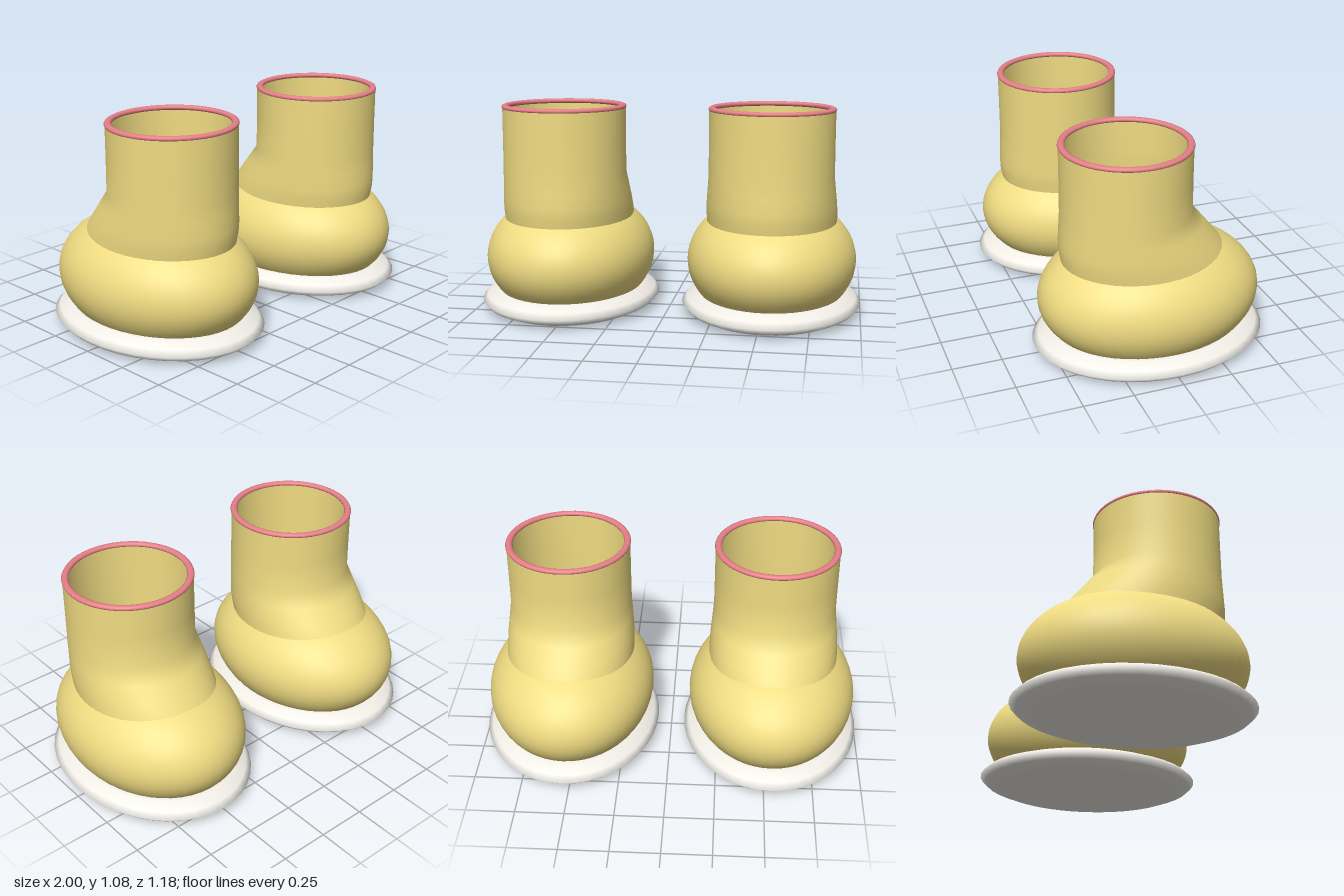
import * as THREE from 'three';

const yellow = new THREE.MeshStandardMaterial({ color: 0xf0dc82, side: THREE.DoubleSide });
const pink = new THREE.MeshStandardMaterial({ color: 0xe57f87 });
const white = new THREE.MeshStandardMaterial({ color: 0xf2efe8 });

function addMesh(parent, name, geometry, material) {
  const mesh = new THREE.Mesh(geometry, material);
  mesh.name = name;
  parent.add(mesh);
  return mesh;
}

// Oval tube through rings of [y, half width, back z, toe z]
function ovalTube(rings, segments) {
  const geometry = new THREE.CylinderGeometry(1, 1, 1, segments, rings.length - 1, true);
  const p = geometry.attributes.position;
  for (let i = 0; i < p.count; i++) {
    const [y, halfWidth, back, toe] = rings[Math.floor(i / (segments + 1))];
    p.setXYZ(i, p.getX(i) * halfWidth, y, (back + toe) / 2 + p.getZ(i) * (back - toe) / 2);
  }
  geometry.computeVertexNormals();
  // Match the normals on both sides of the seam
  const n = geometry.attributes.normal;
  const sum = new THREE.Vector3(), other = new THREE.Vector3();
  for (let r = 0; r < rings.length; r++) {
    const a = r * (segments + 1), b = a + segments;
    sum.fromBufferAttribute(n, a).add(other.fromBufferAttribute(n, b)).normalize();
    n.setXYZ(a, sum.x, sum.y, sum.z);
    n.setXYZ(b, sum.x, sum.y, sum.z);
  }
  return geometry;
}

function createBoot(name) {
  const boot = new THREE.Group();
  boot.name = name;

  // Flat oval sole with a rounded edge
  const profile = [[0, 0], [0.8, 0], [0.84, 0.003], [0.95, 0.028], [1, 0.056],
    [0.95, 0.084], [0.84, 0.107], [0.8, 0.11], [0, 0.11]];
  const sole = new THREE.LatheGeometry(profile.map(([r, y]) => new THREE.Vector2(r, y)), 40);
  sole.scale(0.465, 1, 0.59);
  addMesh(boot, 'sole', sole, white);

  // Rounded foot, cut off where it meets the sole
  const foot = new THREE.SphereGeometry(1, 48, 28, 0, Math.PI * 2, 0, 2.13);
  foot.scale(0.437, 0.33, 0.56);
  foot.translate(0, 0.28, 0);
  addMesh(boot, 'foot', foot, yellow);

  // Open shaft, sloping out over the instep
  const shaft = ovalTube([
    [1.068, 0.317, 0.439, -0.195],
    [0.9, 0.317, 0.439, -0.195],
    [0.73, 0.318, 0.44, -0.197],
    [0.66, 0.325, 0.445, -0.255],
    [0.58, 0.333, 0.45, -0.32],
    [0.53, 0.335, 0.448, -0.361],
    [0.47, 0.335, 0.438, -0.4],
  ], 48);
  addMesh(boot, 'shaft', shaft, yellow);

  // Coloured trim around the opening
  const trim = new THREE.TorusGeometry(0.303, 0.018, 10, 48);
  trim.rotateX(Math.PI / 2);
  trim.scale(1, 0.7, 1);
  trim.translate(0, 1.068, 0.122);
  addMesh(boot, 'rimTrim', trim, pink);
  return boot;
}

export function createModel() {
  const model = new THREE.Group();
  model.name = 'boots';
  for (const side of [-1, 1]) {
    const boot = createBoot(side > 0 ? 'leftBoot' : 'rightBoot');
    boot.position.x = side * 0.535;
    model.add(boot);
  }
  return model;
}
